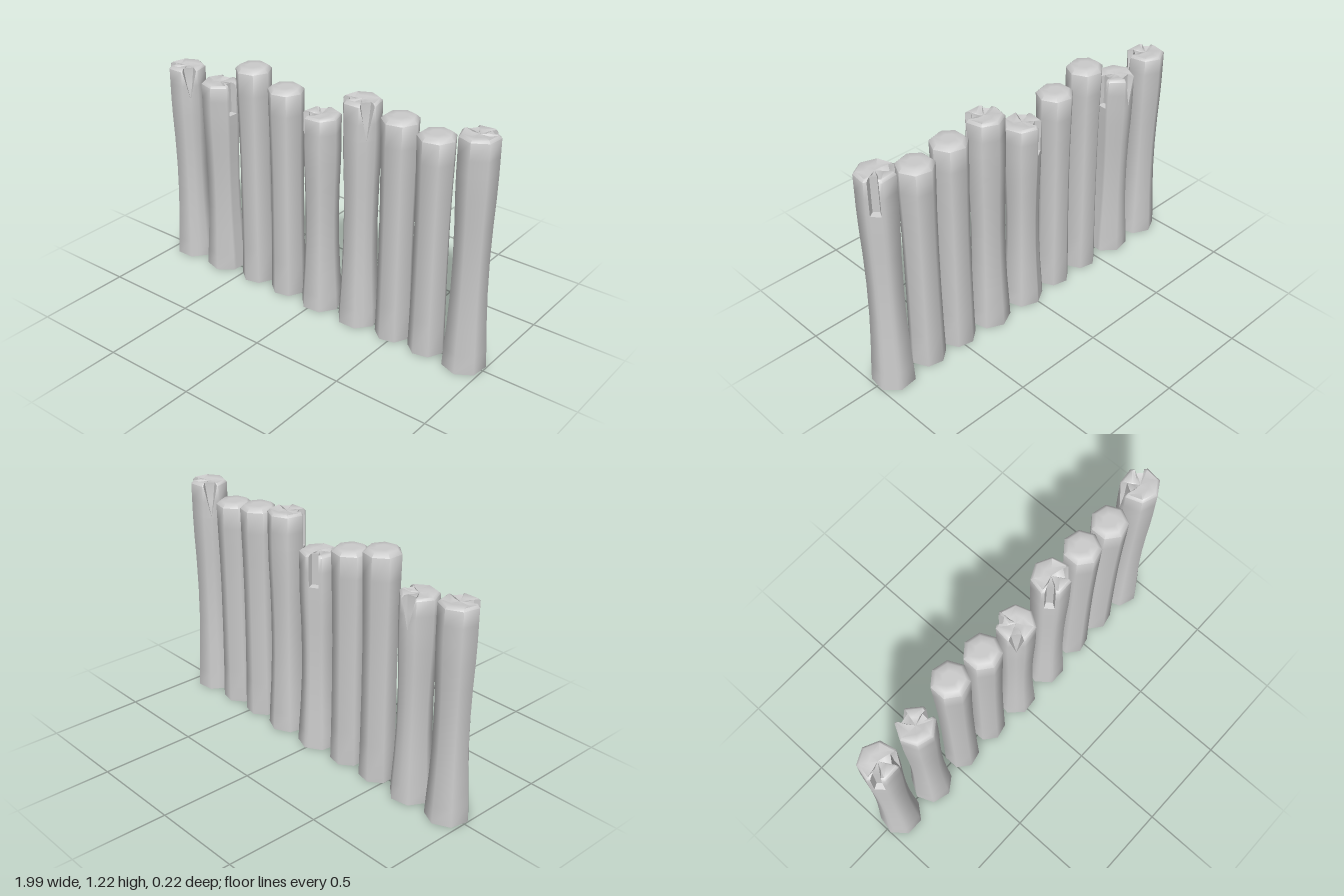
import * as THREE from 'three';
import { toCreasedNormals } from 'three/addons/utils/BufferGeometryUtils.js';

const SIDES = 7, STEP = (Math.PI * 2) / SIDES, FULL = 1.22;
const MAT = new THREE.MeshStandardMaterial({ color: 0xcccccc, side: THREE.DoubleSide });

// [height, radius] from the open foot to the bevelled top
const PLAIN = [[0, 0.094], [0.2, 0.09], [0.45, 0.087], [0.7, 0.086], [0.9, 0.088], [1.08, 0.092], [1.2, 0.094], [1.22, 0.072]];
const FLARED = [[0, 0.11], [0.1, 0.105], [0.25, 0.096], [0.42, 0.089], [0.6, 0.087], [0.78, 0.09], [0.92, 0.095],
  [1.03, 0.097], [1.036, 0.097], [1.12, 0.097], [1.208, 0.097], [1.22, 0.084]];

// Notches on a facet: half width (share of the facet) and depth by height
const SLOT = { half: () => 0.3, depth: y => (y > 1.033 ? 0.032 : 0) };
const SPLIT = {
  half: y => 0.42 * THREE.MathUtils.clamp((y - 1.036) / 0.17, 0, 1),
  depth: y => 0.03 * THREE.MathUtils.clamp((y - 1.036) / 0.12, 0, 1),
};

// Columns around the post; a notched facet gets two doubled columns for its walls
function makeColumns(notches) {
  const cols = [];
  for (let f = 0; f < SIDES; f++) {
    cols.push({ f, t: () => 0 });
    const n = notches[f];
    if (!n) continue;
    for (const [sign, cut] of [[-1, 0], [-1, 1], [1, 1], [1, 0]]) {
      cols.push({ f, t: y => 0.5 + sign * n.half(y), notch: cut ? n : null });
    }
  }
  return cols;
}

function postGeometry(profile, notches, startAngle, height, rough) {
  const cols = makeColumns(notches);
  const corner = f => new THREE.Vector2(Math.cos(startAngle + f * STEP), Math.sin(startAngle + f * STEP));
  const rim = profile[profile.length - 2][1];
  const rings = profile.map(([y, r]) => cols.map(c => {
    const d = corner(c.f).lerp(corner(c.f + 1), c.t(y));
    const radius = c.notch && c.notch.depth(y) > 0 ? Math.min(r, rim - c.notch.depth(y)) : r;
    return new THREE.Vector3(d.x * radius, (y * height) / FULL, d.y * radius);
  }));

  // Uneven broken wood inside the top rim
  const last = rings[rings.length - 1];
  rings.push(last.map((p, i) => new THREE.Vector3(p.x * 0.5, height - rough * (0.5 + 0.5 * Math.sin(i * 2.4)), p.z * 0.5)));
  rings.push(last.map(() => new THREE.Vector3(0, height - rough * 0.4, 0)));

  const pos = [], ab = new THREE.Vector3(), ac = new THREE.Vector3();
  const tri = (a, b, c) => {
    if (ab.subVectors(b, a).cross(ac.subVectors(c, a)).length() < 1e-9) return;
    for (const p of [a, b, c]) pos.push(p.x, p.y, p.z);
  };
  for (let j = 0; j < rings.length - 1; j++) {
    for (let i = 0; i < cols.length; i++) {
      const k = (i + 1) % cols.length;
      tri(rings[j][i], rings[j + 1][i], rings[j][k]);
      tri(rings[j][k], rings[j + 1][i], rings[j + 1][k]);
    }
  }
  const geo = new THREE.BufferGeometry();
  geo.setAttribute('position', new THREE.Float32BufferAttribute(pos, 3));
  return toCreasedNormals(geo, 0.95);
}

export function createModel() {
  const group = new THREE.Group();
  group.name = 'palisade';

  // x, height, and for split posts the direction (degrees) the slot faces
  const posts = [
    [-0.892, 1.115, 141], [-0.655, 1.08, 3], [-0.42, 1.22], [-0.21, 1.16], [0.015, 1.08, 239],
    [0.255, 1.22, 141], [0.475, 1.19], [0.675, 1.16], [0.892, 1.22, 315],
  ];
  posts.forEach(([x, height, facing], i) => {
    const split = facing !== undefined;
    // Slot on facet 2, V-shaped split two facets before it
    const start = split ? THREE.MathUtils.degToRad(facing) - 2.5 * STEP : 0;
    const geo = split
      ? postGeometry(FLARED, { 0: SPLIT, 2: SLOT }, start, height, 0.012)
      : postGeometry(PLAIN, {}, start, height, 0);
    const mesh = new THREE.Mesh(geo, MAT);
    mesh.name = (split ? 'splitPost' : 'plainPost') + (i + 1);
    mesh.position.x = x;
    group.add(mesh);
  });
  return group;
}
